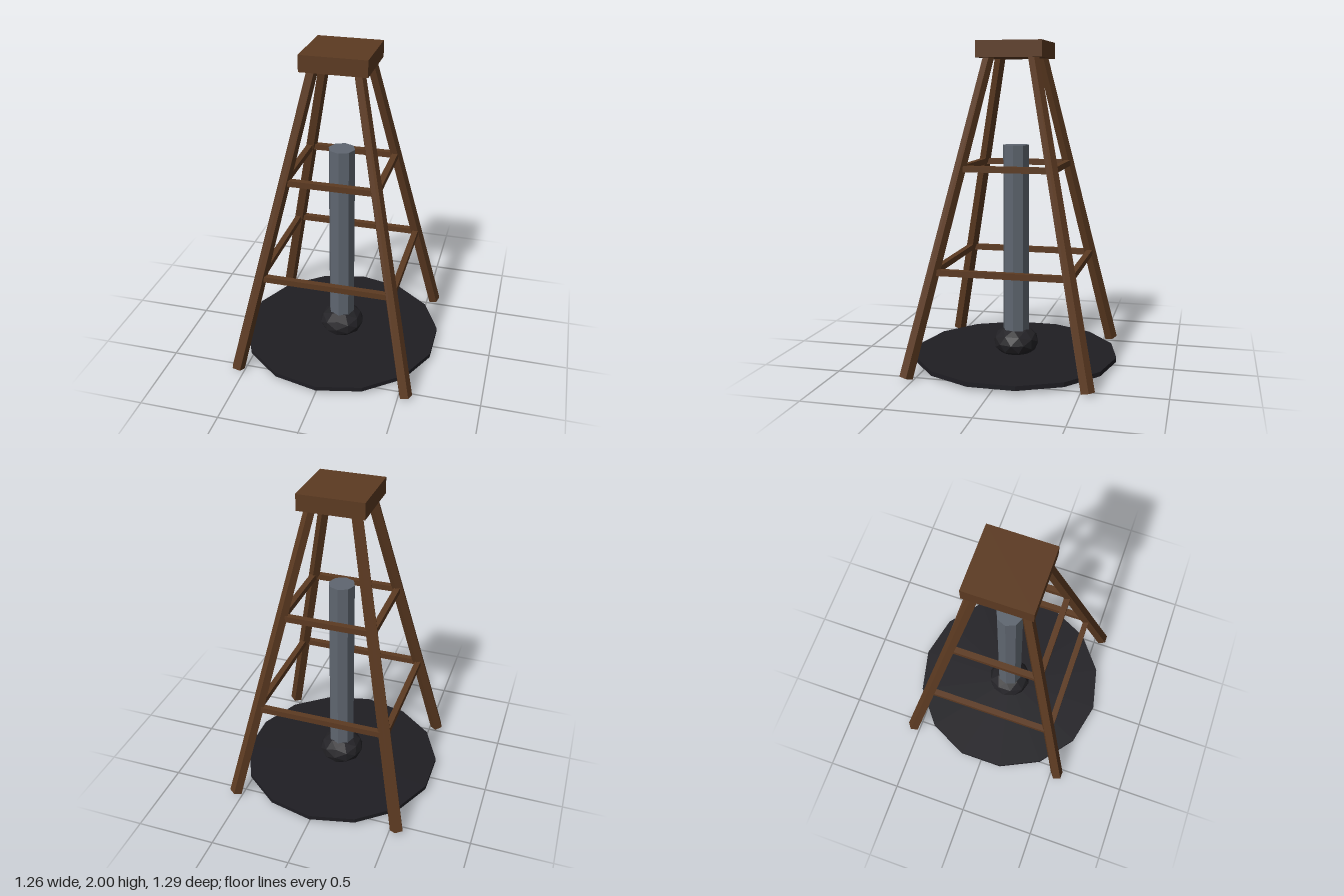
import * as THREE from 'three';

const paint = (color) => new THREE.MeshStandardMaterial({ color, flatShading: true });

export function createModel() {
  const model = new THREE.Group();
  const wood = paint(0x5c3a21);
  const steel = paint(0x5f6670);
  const dark = paint(0x1f1e23);
  const iron = paint(0x232226);

  const add = (name, geometry, material, x, y, z) => {
    const mesh = new THREE.Mesh(geometry, material);
    mesh.name = name;
    mesh.position.set(x, y, z);
    model.add(mesh);
    return mesh;
  };

  // Ground disc, round weight and upright column
  add('baseDisc', new THREE.CylinderGeometry(0.645, 0.645, 0.028, 14), dark, 0, 0.032, 0);
  add('weight', new THREE.IcosahedronGeometry(0.145, 1), iron, 0, 0.113, 0).scale.y = 0.7;
  add('column', new THREE.CylinderGeometry(0.083, 0.083, 1.27, 8), steel, 0, 0.735, 0);

  // Square cap
  add('cap', new THREE.BoxGeometry(0.405, 0.1, 0.405), wood, 0, 1.95, 0);

  // Four splayed, slightly tapered five-sided legs
  const bottom = { r: 0.545, y: 0.009 };
  const top = { r: 0.13, y: 1.94 };
  const up = new THREE.Vector3(0, 1, 0);
  for (const sx of [-1, 1]) {
    for (const sz of [-1, 1]) {
      const a = new THREE.Vector3(sx * bottom.r, bottom.y, sz * bottom.r);
      const b = new THREE.Vector3(sx * top.r, top.y, sz * top.r);
      const dir = b.clone().sub(a);
      const geometry = new THREE.CylinderGeometry(0.035, 0.043, dir.length(), 5, 1, false, Math.PI);
      const mid = a.add(b).multiplyScalar(0.5);
      const leg = add('leg', geometry, wood, mid.x, mid.y, mid.z);
      leg.quaternion.setFromUnitVectors(up, dir.normalize());
    }
  }

  // Two rings of cross bars between the legs
  for (const [y, r] of [[0.63, 0.413], [1.24, 0.281]]) {
    for (const s of [-1, 1]) {
      add('crossBarX', new THREE.BoxGeometry(2 * r, 0.037, 0.037), wood, 0, y, s * r);
      add('crossBarZ', new THREE.BoxGeometry(0.037, 0.037, 2 * r), wood, s * r, y, 0);
    }
  }

  return model;
}
